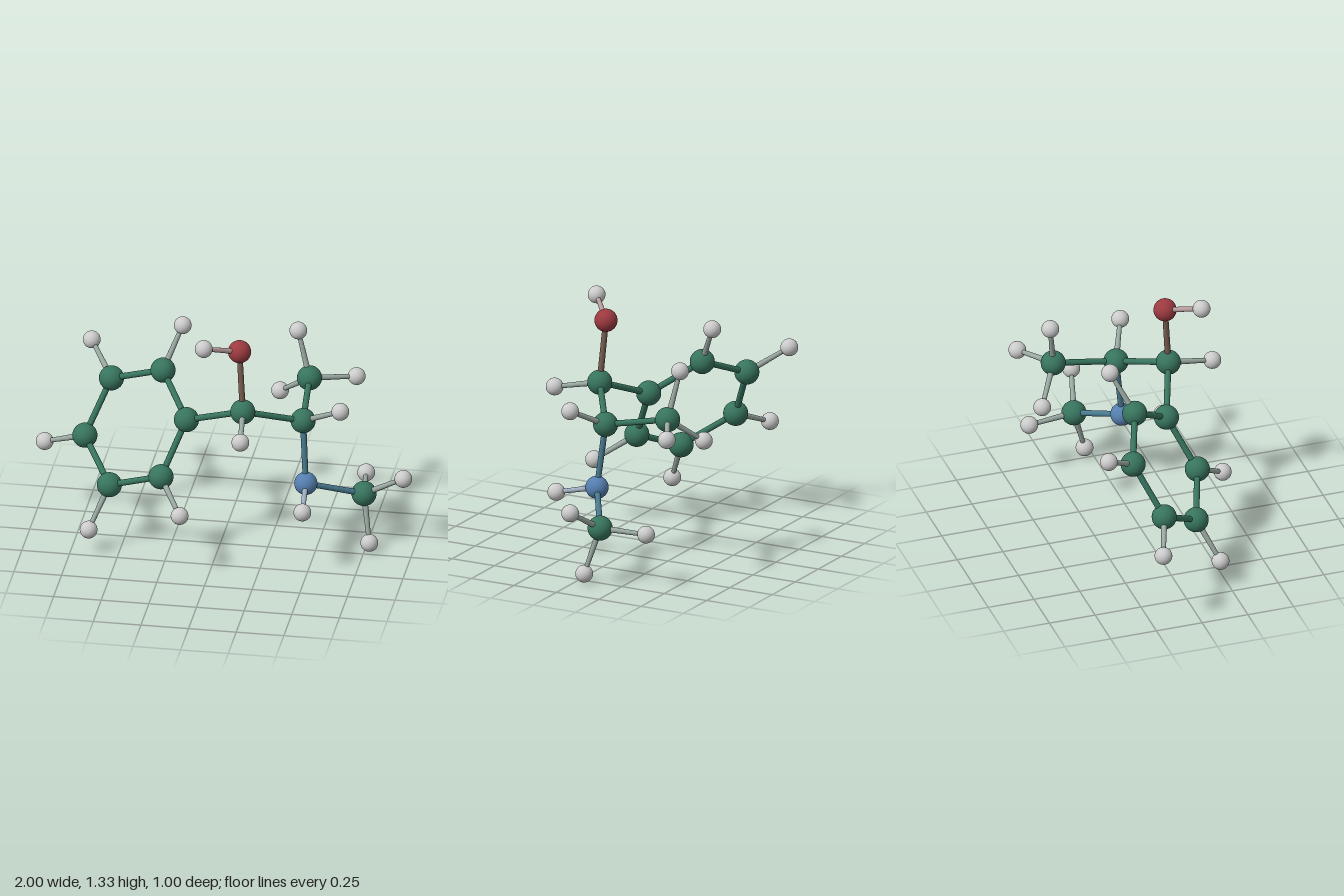
import * as THREE from 'three';

// Element styles: ball radius and colour
const ELEMENTS = {
  carbon: { r: 0.065, color: 0x37745e },
  hydrogen: { r: 0.046, color: 0xcccccc },
  oxygen: { r: 0.06, color: 0x9c3a40 },
  nitrogen: { r: 0.06, color: 0x557fb0 },
};

// Carbon and hetero atoms: element and position
const HEAVY = {
  ring1: ['carbon', -0.163, 0.75, 0.088],
  ring2: ['carbon', -0.324, 0.911, -0.14],
  ring3: ['carbon', -0.612, 0.79, -0.246],
  ring4: ['carbon', -0.73, 0.513, -0.116],
  ring5: ['carbon', -0.563, 0.354, 0.115],
  ring6: ['carbon', -0.275, 0.475, 0.219],
  chainInner: ['carbon', 0.152, 0.879, 0.205],
  chainOuter: ['carbon', 0.437, 0.758, 0.016],
  upperMethyl: ['carbon', 0.412, 0.83, -0.336],
  lowerMethyl: ['carbon', 0.735, 0.297, -0.114],
  hydroxyl: ['oxygen', 0.131, 1.213, 0.18],
  amine: ['nitrogen', 0.458, 0.416, 0.055],
};

// Hydrogens grouped by the atom that carries them
const HYDROGENS = {
  ring2: [[-0.238, 1.126, -0.245]],
  ring3: [[-0.745, 0.914, -0.424]],
  ring4: [[-0.954, 0.421, -0.196]],
  ring5: [[-0.655, 0.137, 0.217]],
  ring6: [[-0.147, 0.348, 0.401]],
  chainInner: [[0.181, 0.826, 0.455]],
  chainOuter: [[0.648, 0.873, 0.11]],
  upperMethyl: [[0.347, 1.08, -0.374], [0.64, 0.8, -0.455], [0.238, 0.685, -0.455]],
  lowerMethyl: [[0.951, 0.428, -0.055], [0.775, 0.05, -0.042], [0.704, 0.291, -0.368]],
  hydroxyl: [[-0.033, 1.286, 0.324]],
  amine: [[0.478, 0.362, 0.284]],
};

const LINKS = [
  ['ring1', 'chainInner'], ['chainInner', 'hydroxyl'], ['chainInner', 'chainOuter'],
  ['chainOuter', 'upperMethyl'], ['chainOuter', 'amine'], ['amine', 'lowerMethyl'],
];
for (let i = 1; i <= 6; i++) LINKS.push([`ring${i}`, `ring${(i % 6) + 1}`]);

const material = (color) => new THREE.MeshStandardMaterial({ color });

export function createModel() {
  const model = new THREE.Group();
  model.name = 'ballAndStickMolecule';

  const styles = {};
  for (const [key, { r, color }] of Object.entries(ELEMENTS)) {
    styles[key] = { r, mat: material(color), geo: new THREE.SphereGeometry(r, 32, 20) };
  }

  // Ball for one atom
  function addAtom(name, element, x, y, z) {
    const { geo, mat } = styles[element];
    const ball = new THREE.Mesh(geo, mat);
    ball.name = name + 'Atom';
    ball.position.set(x, y, z);
    model.add(ball);
    return { name, element, p: ball.position };
  }

  // Rod between two atoms, slightly thinner towards the smaller ball
  const bondMaterials = {};
  function addBond(a, b) {
    const key = a.element + b.element;
    bondMaterials[key] ??= material(
      styles[a.element].mat.color.clone().lerp(styles[b.element].mat.color, 0.5));
    const dir = b.p.clone().sub(a.p);
    const geo = new THREE.CylinderGeometry(
      styles[b.element].r * 0.25, styles[a.element].r * 0.25, dir.length(), 16, 1, true);
    const rod = new THREE.Mesh(geo, bondMaterials[key]);
    rod.name = `${a.name}To${b.name[0].toUpperCase()}${b.name.slice(1)}Bond`;
    rod.position.copy(a.p).addScaledVector(dir, 0.5);
    rod.quaternion.setFromUnitVectors(new THREE.Vector3(0, 1, 0), dir.normalize());
    model.add(rod);
  }

  // Skeleton
  const atoms = {};
  for (const [name, spec] of Object.entries(HEAVY)) atoms[name] = addAtom(name, ...spec);
  for (const [a, b] of LINKS) addBond(atoms[a], atoms[b]);

  // Hydrogens
  for (const [parent, points] of Object.entries(HYDROGENS)) {
    points.forEach((p, i) => {
      addBond(atoms[parent], addAtom(`${parent}Hydrogen${i + 1}`, 'hydrogen', ...p));
    });
  }
  return model;
}
